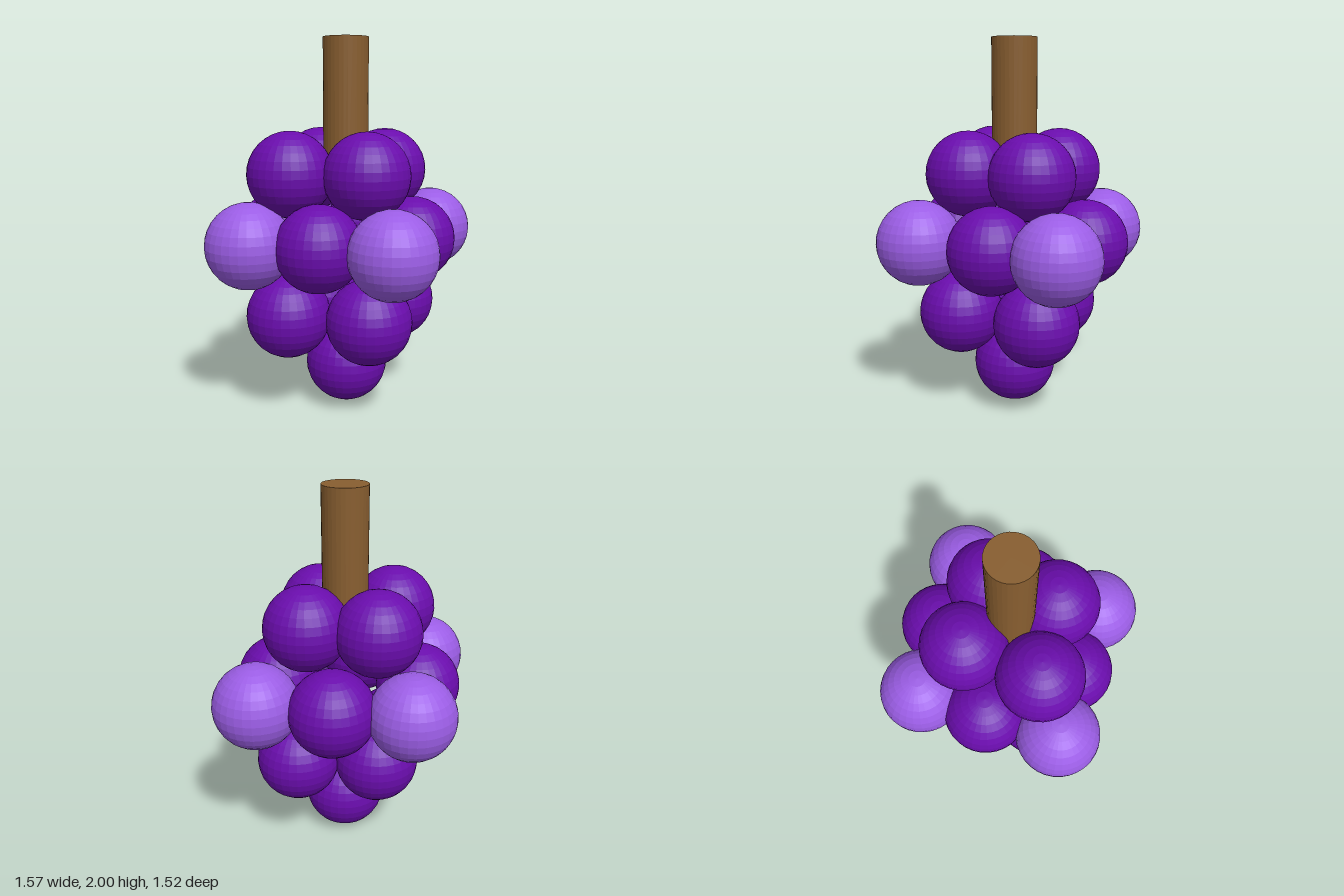
import * as THREE from 'three';

export function createModel() {
  const group = new THREE.Group();
  const material = (name, color) => {
    const m = new THREE.MeshStandardMaterial({ color, flatShading: true });
    m.name = name;
    return m;
  };
  const darkPurple = material('dark purple', 0x6a0dad);
  const lightPurple = material('light purple', 0x9b5de5);
  const brown = material('stem brown', 0x885e30);

  const grapeGeometry = new THREE.SphereGeometry(0.225, 32, 16);

  // Each layer: height, material and the [x, z] centres of its grapes
  const layers = [
    ['bottomGrape', 0.23, darkPurple, [[0.005, 0.01]]],
    ['lowerGrape', 0.547, darkPurple, [[-0.345, 0.01], [0.315, 0.01], [-0.025, 0.312], [-0.025, -0.25]]],
    ['middleGrape', 0.948, darkPurple, [[-0.277, 0.24], [0.281, 0.243], [-0.277, -0.275], [0.281, -0.278]]],
    ['outerGrape', 0.948, lightPurple, [[-0.561, 0.01], [0.556, 0.01], [-0.024, 0.535], [-0.024, -0.537]]],
    ['upperGrape', 1.3, darkPurple, [[-0.326, 0.01], [0.244, 0.01], [-0.015, 0.263], [-0.015, -0.26]]],
  ];
  for (const [name, y, mat, centres] of layers) {
    centres.forEach(([x, z], i) => {
      const grape = new THREE.Mesh(grapeGeometry, mat);
      grape.name = name + (i + 1);
      grape.position.set(x, y, z);
      group.add(grape);
    });
  }

  // Stem rising from between the upper grapes
  const stem = new THREE.Mesh(new THREE.CylinderGeometry(0.12, 0.12, 0.8, 32), brown);
  stem.name = 'stem';
  stem.position.set(0, 1.6, 0.01);
  group.add(stem);

  return group;
}
